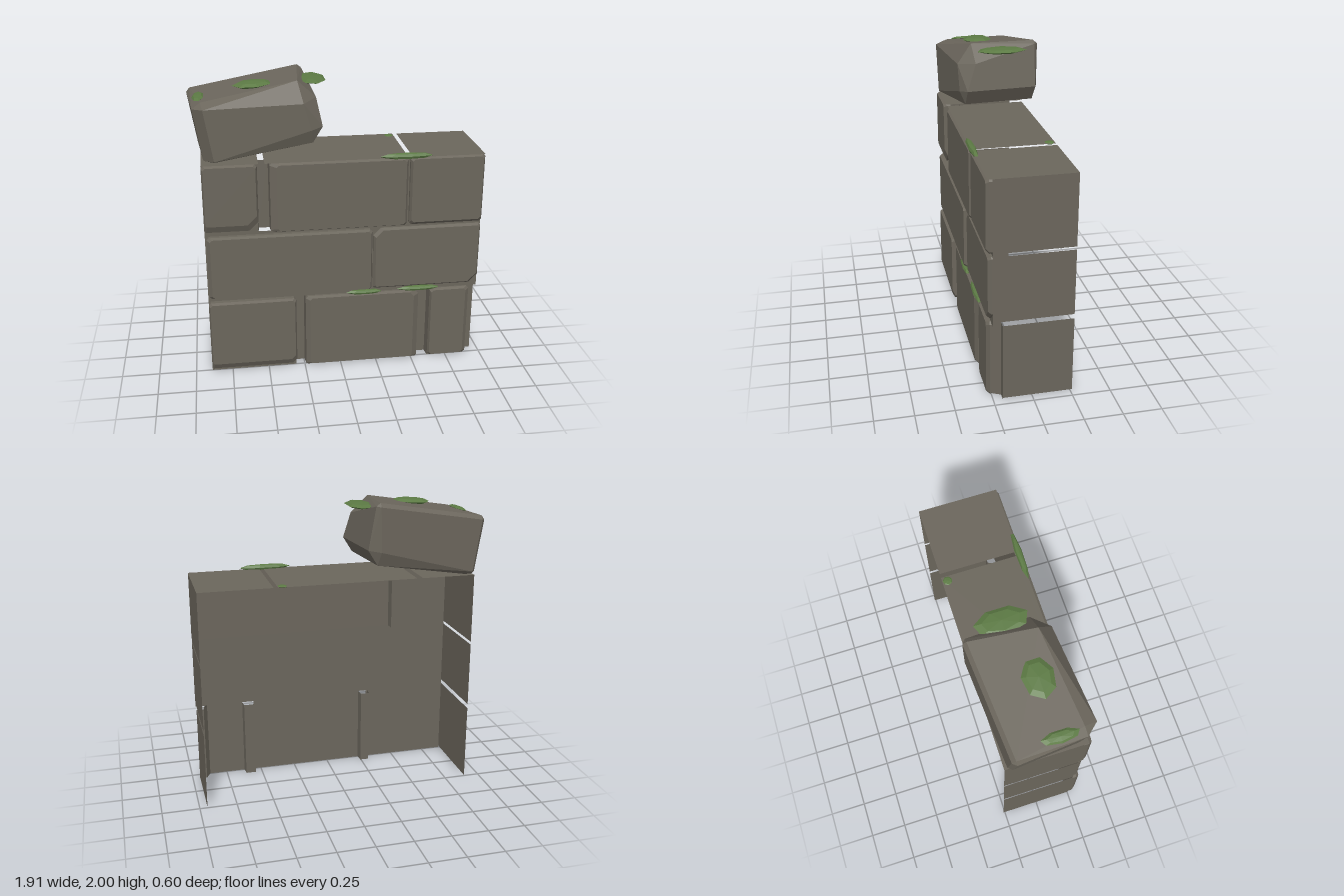
import * as THREE from 'three';
import { ConvexGeometry } from 'three/addons/geometries/ConvexGeometry.js';

const stone = new THREE.MeshStandardMaterial({ color: 0x6b665c, side: THREE.DoubleSide });
stone.name = 'stone';
const moss = new THREE.MeshStandardMaterial({ color: 0x5c7a44 });
moss.name = 'moss';

const BACK = -0.26, MORTAR = 0.25, GROOVE = 0.19;

// Flat shaded geometry from quads, corners counter-clockwise
function fromQuads(quads) {
  const pos = [];
  for (const [a, b, c, d] of quads) pos.push(...a, ...b, ...c, ...a, ...c, ...d);
  const g = new THREE.BufferGeometry();
  g.setAttribute('position', new THREE.Float32BufferAttribute(pos, 3));
  g.computeVertexNormals();
  return g;
}

// Upright sheet following an [x, z] profile
function sheet(profile, y0, y1) {
  const quads = [];
  for (let i = 0; i + 1 < profile.length; i++) {
    const [xa, za] = profile[i], [xb, zb] = profile[i + 1];
    quads.push([[xa, y0, za], [xb, y0, zb], [xb, y1, zb], [xa, y1, za]]);
  }
  return fromQuads(quads);
}

// Raised stone face: rectangle with cut corners, sloped edges and no back
// slope: left, bottom, right, top; cuts: bottom left, bottom right, top right, top left
function stoneFace([x0, y0, x1, y1], z, slope = [], cuts = []) {
  const s = [0, 1, 2, 3].map(i => slope[i] ?? 0.015);
  const c = [0, 1, 2, 3].map(i => cuts[i] ?? 0.015);
  const ring = (l, b, r, t, depth) => [
    [l + c[0], b, depth], [r - c[1], b, depth], [r, b + c[1], depth], [r, t - c[2], depth],
    [r - c[2], t, depth], [l + c[3], t, depth], [l, t - c[3], depth], [l, b + c[0], depth],
  ];
  const rings = [
    ring(x0, y0, x1, y1, MORTAR),
    ring(x0, y0, x1, y1, z - 0.02),
    ring(x0 + s[0], y0 + s[1], x1 - s[2], y1 - s[3], z),
  ];
  const quads = [];
  for (let k = 0; k < 2; k++)
    for (let i = 0; i < 8; i++) {
      const j = (i + 1) % 8;
      quads.push([rings[k][i], rings[k][j], rings[k + 1][j], rings[k + 1][i]]);
    }
  const f = rings[2];
  quads.push([f[0], f[1], f[2], f[7]], [f[7], f[2], f[3], f[6]], [f[6], f[3], f[4], f[5]]);
  return fromQuads(quads);
}

// Convex block with a separate bevel at each corner
function chippedBlock(hx, hy, hz, bevelAt) {
  const pts = [];
  for (const sx of [-1, 1]) for (const sy of [-1, 1]) for (const sz of [-1, 1]) {
    const [bx, by, bz] = bevelAt(sx, sy, sz);
    pts.push(
      new THREE.Vector3(sx * hx, sy * (hy - by), sz * (hz - bz)),
      new THREE.Vector3(sx * (hx - bx), sy * hy, sz * (hz - bz)),
      new THREE.Vector3(sx * (hx - bx), sy * (hy - by), sz * hz));
  }
  return new ConvexGeometry(pts);
}

// Faceted flat clump
function clump(rx, ry, rz) {
  const g = new THREE.SphereGeometry(1, 7, 4).toNonIndexed();
  g.scale(rx, ry, rz);
  g.computeVertexNormals();
  return g;
}

export function createModel() {
  const model = new THREE.Group();
  const add = (name, geometry, material = stone) => {
    const mesh = new THREE.Mesh(geometry, material);
    mesh.name = name;
    model.add(mesh);
    return mesh;
  };
  const groove = (x0, x1) => [[x0, MORTAR], [x0 + 0.005, GROOVE], [x1 - 0.005, GROOVE], [x1, MORTAR]];

  // Mortar sheet behind the stones, with sunken joints
  add('mortarBottom', sheet([[-0.89, MORTAR], ...groove(-0.31, -0.24), ...groove(0.54, 0.62),
    [0.87, MORTAR], [0.9, GROOVE], [0.95, GROOVE]], 0, 0.53));
  add('mortarMiddle', sheet([[-0.89, MORTAR], [0.95, MORTAR]], 0.53, 1.02));
  add('mortarTop', sheet([[-0.89, MORTAR], ...groove(-0.54, -0.46), [0.95, MORTAR]], 1.02, 1.488));

  // Front stones: rectangle, depth, edge slopes, corner cuts
  const faces = [
    [[-0.89, 0.03, -0.305, 0.53], 0.3, [0.01, 0.04, 0.01, 0.01], [0.01, 0.03]],
    [[-0.24, 0.005, 0.54, 0.53], 0.285, [0.03, 0.01, 0.035, 0.01], [0.01, 0.01, 0.03]],
    [[0.62, 0.005, 0.895, 0.53], 0.28, [0.01, 0.01, 0.025, 0.01]],
    [[-0.88, 0.56, 0.21, 1.0], 0.295, [0.02, 0.01, 0.01, 0.01]],
    [[0.22, 0.56, 0.95, 1.0], 0.28, [0.015, 0.015, 0.012, 0.012], [0.01, 0.06, 0.012, 0.05]],
    [[-0.89, 1.04, -0.54, 1.49], 0.3, [0.01, 0.045, 0.01, 0.01], [0.01, 0.06]],
    [[-0.46, 1.02, 0.44, 1.49], 0.295, [0.045, 0.01, 0.015, 0.012]],
    [[0.455, 1.02, 0.95, 1.49], 0.29, [0.012, 0.02, 0.012, 0.012]],
  ];
  for (const [rect, z, slope, cuts] of faces) add('frontStone', stoneFace(rect, z, slope, cuts));

  // End faces, one per course on each end
  for (const [y0, y1, rightFront] of [[0.01, 0.53, GROOVE], [0.56, 1.0, MORTAR], [1.02, 1.49, MORTAR]]) {
    add('leftEndStone', sheet([[0.94, rightFront], [0.95, rightFront], [0.95, BACK]], y0, y1));
    add('rightEndStone', sheet([[-0.89, BACK], [-0.89, MORTAR]], y0, y1));
  }

  // Top faces with open joints between them
  for (const [x0, x1] of [[-0.89, -0.53], [-0.49, 0.438], [0.467, 0.95]]) {
    add('topStone', fromQuads([[
      [x0, 1.49, MORTAR + 0.03], [x1, 1.49, MORTAR + 0.03], [x1, 1.49, BACK], [x0, 1.49, BACK]]]));
  }

  // Loose tilted stone on top
  const loose = add('looseStone', chippedBlock(0.39, 0.2, 0.27, (sx, sy, sz) => {
    if (sx > 0 && sy > 0 && sz > 0) return [0.1, 0.13, 0.1];
    if (sx > 0 && sy < 0) return [0.08, 0.09, 0.035];
    if (sx < 0 && sz > 0) return [0.06, 0.03, 0.08];
    return [0.025, 0.025, 0.025];
  }));
  loose.position.set(-0.53, 1.74, 0);
  loose.rotation.set(0, 0.087, 0.165);

  // Moss: position, radii, tilt
  const patches = [
    [[-0.54, 1.95, 0.055], [0.13, 0.022, 0.1], 0.06],
    [[-0.15, 1.955, -0.04], [0.09, 0.018, 0.17], 0],
    [[-0.885, 1.885, 0.07], [0.04, 0.014, 0.12], 0.165],
    [[0.43, 1.5, 0.275], [0.18, 0.022, 0.025], 0],
    [[0.405, 1.488, -0.225], [0.035, 0.008, 0.035], 0],
    [[0.16, 0.548, 0.285], [0.125, 0.018, 0.02], 0],
    [[0.535, 0.55, 0.28], [0.15, 0.018, 0.022], 0],
  ];
  for (const [p, r, tilt] of patches) {
    const m = add('mossPatch', clump(...r), moss);
    m.position.set(...p);
    m.rotation.z = tilt;
  }
  return model;
}
